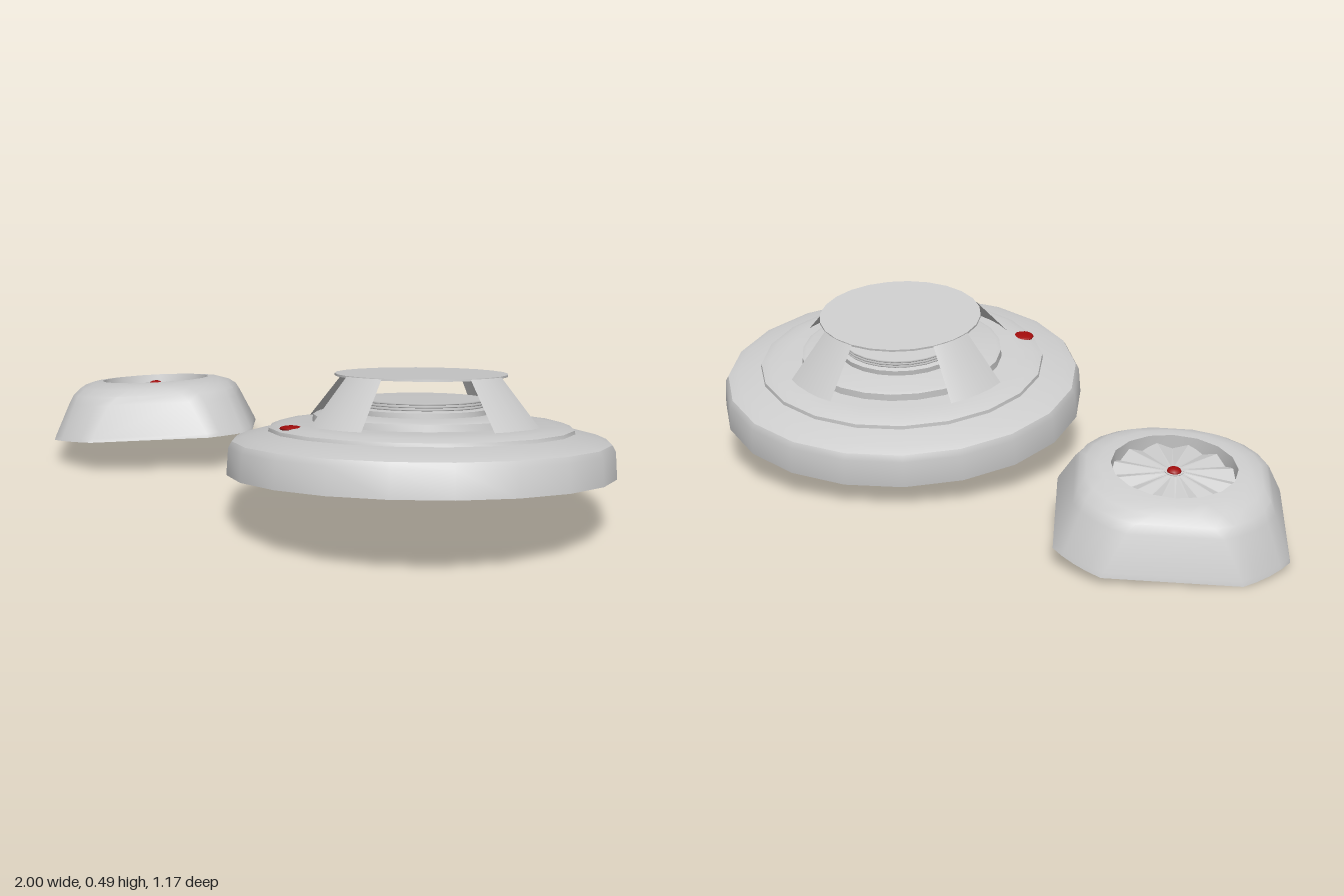
import * as THREE from 'three';
import { toCreasedNormals } from 'three/addons/utils/BufferGeometryUtils.js';

const grey = new THREE.MeshStandardMaterial({ color: 0xcccccc, side: THREE.DoubleSide });
const red = new THREE.MeshStandardMaterial({ color: 0xa00c0c });

function add(parent, name, geometry, material = grey) {
  const mesh = new THREE.Mesh(geometry, material);
  mesh.name = name;
  parent.add(mesh);
  return mesh;
}

function lathe(points, sides) {
  const profile = points.map(([r, y]) => new THREE.Vector2(r, y));
  return toCreasedNormals(new THREE.LatheGeometry(profile, sides), 0.6);
}

// Group standing at a point, with its axis leaning along the normal
function tilted(name, position, normal) {
  const group = new THREE.Group();
  group.name = name;
  group.position.set(...position);
  const up = new THREE.Vector3(0, 1, 0);
  group.quaternion.setFromUnitVectors(up, new THREE.Vector3(...normal).normalize());
  return group;
}

// Square outline whose corners go from round (flat = 0) to cut straight (flat = 1);
// a radius equal to the half side gives a circle
function corneredSquare(half, radius, y, flat, segments = 4) {
  const ring = [];
  const lerp = THREE.MathUtils.lerp;
  for (let c = 0; c < 4; c++) {
    const turn = c * Math.PI / 2;
    for (let s = 0; s <= segments; s++) {
      const t = s / segments;
      const a = t * Math.PI / 2;
      const u = half - radius + radius * lerp(Math.cos(a), 1 - t, flat);
      const v = half - radius + radius * lerp(Math.sin(a), t, flat);
      ring.push([u * Math.cos(turn) - v * Math.sin(turn), y,
        u * Math.sin(turn) + v * Math.cos(turn)]);
    }
  }
  return ring;
}

// Skin over a stack of closed rings
function loft(rings, crease) {
  const n = rings[0].length;
  const index = [];
  for (let i = 0; i < rings.length - 1; i++) {
    for (let j = 0; j < n; j++) {
      const k = (j + 1) % n;
      const a = i * n + j, b = a + n, c = i * n + k, d = c + n;
      index.push(a, b, c, c, b, d);
    }
  }
  const geometry = new THREE.BufferGeometry();
  geometry.setAttribute('position', new THREE.Float32BufferAttribute(rings.flat(2), 3));
  geometry.setIndex(index);
  geometry.computeVertexNormals();
  return toCreasedNormals(geometry, crease);
}

function makeRoundDetector() {
  const group = tilted('roundDetector', [0.447, 0.158, 0.033], [-0.09, 1, -0.16]);

  // Wide base with a rounded rim and a raised inner ring
  add(group, 'base', lathe([[0, 0], [0.555, 0], [0.55, 0.078], [0.54, 0.096],
    [0.51, 0.109], [0.437, 0.124], [0.435, 0.134], [0.41, 0.144], [0.36, 0.15], [0, 0.152]], 20));

  // Stepped core under the cap
  add(group, 'coreStep', lathe([[0.31, 0.145], [0.307, 0.17], [0.295, 0.175], [0, 0.176]], 24));
  add(group, 'core', lathe([[0.195, 0.17], [0.195, 0.19], [0.18, 0.194], [0.18, 0.216], [0, 0.218]], 24));

  // Fine grille around the core
  for (let i = 0; i < 3; i++) {
    const ring = add(group, 'grilleRing', new THREE.TorusGeometry(0.181, 0.003, 4, 24));
    ring.rotation.x = Math.PI / 2;
    ring.position.y = 0.198 + i * 0.008;
  }

  // Cap on four flared legs
  const cap = add(group, 'cap', new THREE.CylinderGeometry(0.247, 0.247, 0.006, 24));
  cap.position.y = 0.284;
  const legWidth = THREE.MathUtils.degToRad(31);
  for (let i = 0; i < 4; i++) {
    const start = THREE.MathUtils.degToRad(-15 + i * 90) - legWidth / 2;
    const leg = add(group, 'capLeg',
      new THREE.CylinderGeometry(0.247, 0.366, 0.139, 4, 1, true, start, legWidth));
    leg.position.y = 0.2155;
  }

  // Status light on the raised ring
  const light = add(group, 'statusLight', new THREE.SphereGeometry(0.033, 16, 8), red);
  light.position.set(-0.243, 0.143, 0.315);
  light.scale.y = 0.25;
  return group;
}

function makeSquareDetector() {
  const group = tilted('squareDetector', [-0.64, 0.063, -0.224], [-0.13, 1, -0.13]);
  const body = new THREE.Group();
  body.name = 'body';
  body.rotation.y = THREE.MathUtils.degToRad(30);
  group.add(body);

  // Housing: recessed underside, leaning walls, rounded shoulder, round well on top
  add(body, 'housing', loft([
    [0.001, 0.001, 0.014, 0], [0.298, 0.126, 0.014, 0.75], [0.303, 0.13, 0, 0.75],
    [0.314, 0.13, 0, 0.75], [0.31, 0.13, 0.012, 0.75], [0.268, 0.14, 0.11, 0.5],
    [0.257, 0.155, 0.134, 0.35], [0.237, 0.18, 0.153, 0.2], [0.205, 0.19, 0.165, 0.1],
    [0.172, 0.172, 0.168, 0], [0.168, 0.168, 0.12, 0],
  ].map((section) => corneredSquare(...section)), 0.7));

  // Pleated vent disc in the well
  const pleats = [0.17, 0.025].map((r, row) => Array.from({ length: 24 }, (_, j) => {
    const a = j / 24 * Math.PI * 2;
    const y = row ? 0.15 : 0.127 + (j % 2) * 0.018;
    return [Math.cos(a) * r, y, Math.sin(a) * r];
  }));
  add(body, 'ventDisc', loft(pleats, 0.01));
  const hub = add(body, 'ventHub', new THREE.CylinderGeometry(0.026, 0.026, 0.012, 16));
  hub.position.y = 0.146;

  // Light at the centre of the vent
  const light = add(body, 'ventLight', new THREE.SphereGeometry(0.02, 12, 8), red);
  light.position.y = 0.152;
  light.scale.y = 0.5;
  return group;
}

export function createModel() {
  const model = new THREE.Group();
  model.name = 'smokeDetectors';
  model.add(makeRoundDetector(), makeSquareDetector());
  return model;
}
